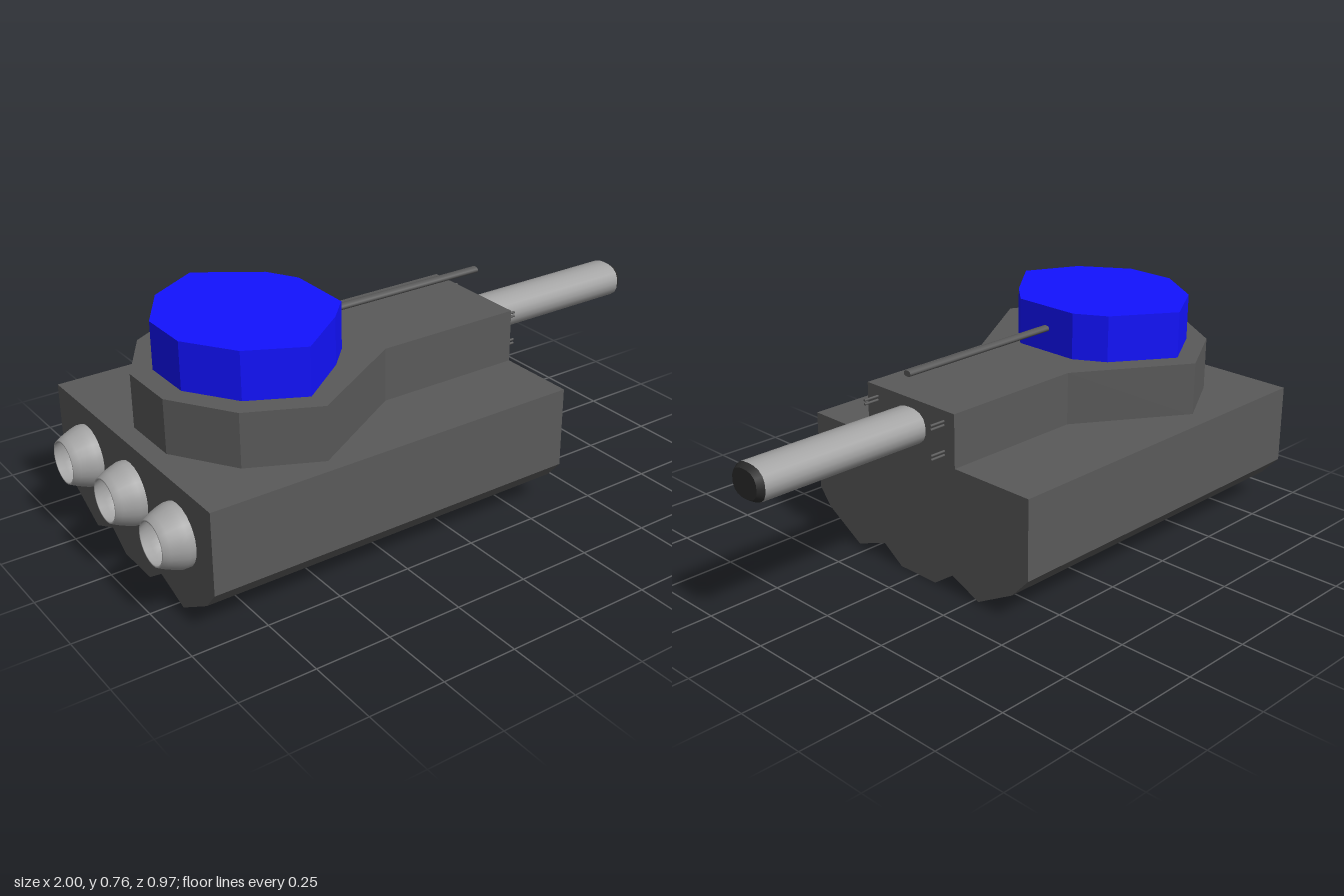
import * as THREE from 'three';

const DARK = 0x5a5a5a, GREY = 0xa3a3a3, BLACK = 0x2c2c2c, BLUE = 0x1212ff;

function mesh(name, geometry, color, flat = false) {
  const material = new THREE.MeshStandardMaterial({ color, flatShading: flat });
  const m = new THREE.Mesh(geometry, material);
  m.name = name;
  return m;
}

const shapeOf = pts => new THREE.Shape(pts.map(p => new THREE.Vector2(p[0], p[1])));

// Prism along x from a [z, y] outline
function prismX(pts, x0, x1) {
  return new THREE.ExtrudeGeometry(shapeOf(pts.map(([z, y]) => [-z, y])), { depth: x1 - x0, bevelEnabled: false })
    .rotateY(Math.PI / 2).translate(x0, 0, 0);
}

// Prism upwards from an [x, z] outline
function prismY(pts, y0, y1) {
  return new THREE.ExtrudeGeometry(shapeOf(pts.map(([x, z]) => [x, -z])), { depth: y1 - y0, bevelEnabled: false })
    .rotateX(-Math.PI / 2).translate(0, y0, 0);
}

// Bar along x with a rounded-oblong section; end = scale of the far end
function bar(x0, x1, y, z, halfY, halfZ, end = 1, sides = 20) {
  const g = new THREE.CylinderGeometry(end, 1, x1 - x0, sides);
  const p = g.attributes.position, n = 2.5;
  for (let i = 0; i < p.count; i++) {
    const a = Math.atan2(p.getZ(i), p.getX(i));
    const k = (Math.abs(Math.cos(a)) ** n + Math.abs(Math.sin(a)) ** n) ** (-1 / n);
    p.setX(i, p.getX(i) * k);
    p.setZ(i, p.getZ(i) * k);
  }
  return g.rotateZ(-Math.PI / 2).scale(1, halfY, halfZ).translate((x0 + x1) / 2, y, z);
}

export function createModel() {
  const model = new THREE.Group();
  model.name = 'turretVehicle';

  // Hull with a keeled underside
  model.add(mesh('hull', prismX([
    [0.485, 0.425], [0.485, 0.155], [0.435, 0.095], [0.29, 0.008], [0.16, 0.055], [0.08, 0],
    [-0.08, 0], [-0.16, 0.055], [-0.275, 0.006], [-0.42, 0.085], [-0.485, 0.155], [-0.485, 0.425],
  ], -0.91, 0.375), DARK, true));

  // Raised deck, wide round the turret and narrow towards the gun
  model.add(mesh('deck', prismY([
    [0.375, -0.177], [-0.13, -0.177], [-0.49, -0.412], [-0.717, -0.285], [-0.847, -0.08],
    [-0.847, 0.123], [-0.715, 0.325], [-0.49, 0.433], [-0.13, 0.218], [0.375, 0.218],
  ], 0.42, 0.603), DARK, true));

  // Turret
  model.add(mesh('turret', prismY([
    [-0.493, -0.335], [-0.296, -0.2], [-0.237, -0.097], [-0.237, 0.138], [-0.317, 0.224],
    [-0.493, 0.358], [-0.67, 0.267], [-0.778, 0.107], [-0.778, -0.067], [-0.67, -0.235],
  ], 0.6, 0.76), BLUE, true));
  model.add(mesh('turretGun', bar(-0.25, 0.382, 0.683, 0.021, 0.01, 0.015, 1, 12), DARK));

  // Main gun with a chamfered dark muzzle
  model.add(mesh('mainBarrel', bar(0.36, 0.98, 0.514, 0.022, 0.058, 0.071), GREY));
  model.add(mesh('muzzle', bar(0.98, 1, 0.514, 0.022, 0.058, 0.071, 0.8), BLACK));

  // Paired pins beside the main gun
  for (const z of [0.171, -0.131]) {
    for (const y of [0.568, 0.555, 0.47, 0.457]) {
      model.add(mesh('pin', bar(0.365, 0.43, y, z, 0.004, 0.004, 1, 8), DARK));
    }
  }
  model.add(mesh('triangularPlate', prismX([[0.172, 0.465], [0.128, 0.426], [0.128, 0.503]], 0.37, 0.379), BLACK, true));

  // Exhaust nozzles: bulged outside, hollow inside
  const profile = [[0.1, 0], [0.1, 0.02], [0.094, 0.04], [0.082, 0.07], [0.072, 0.09],
    [0.066, 0.09], [0.078, 0.06], [0.082, 0.03], [0.07, 0.005], [0, 0.005]]
    .map(([r, h]) => new THREE.Vector2(r, h));
  for (const z of [-0.28, 0.005, 0.295]) {
    const nozzle = mesh('exhaustNozzle', new THREE.LatheGeometry(profile, 24), GREY);
    nozzle.material.side = THREE.DoubleSide;
    nozzle.rotation.z = Math.PI / 2;
    nozzle.position.set(-0.91, 0.263, z);
    model.add(nozzle);
  }
  return model;
}
